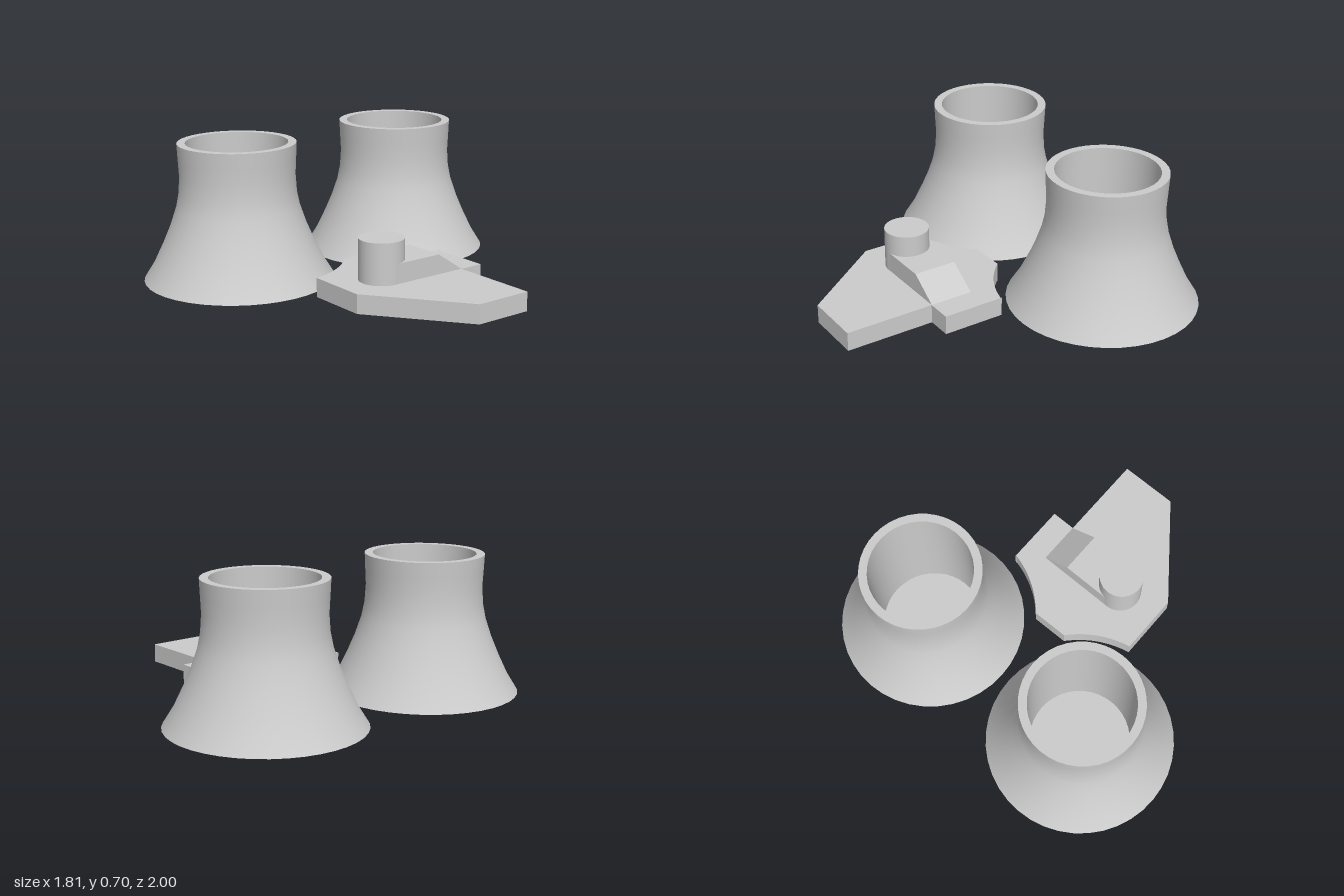
import * as THREE from 'three';

const material = new THREE.MeshStandardMaterial({ color: 0xcccccc });
const openMaterial = new THREE.MeshStandardMaterial({ color: 0xcccccc, side: THREE.DoubleSide });
const SEGMENTS = 40;

function addMesh(parent, name, geometry, mat = material) {
  const mesh = new THREE.Mesh(geometry, mat);
  mesh.name = name;
  parent.add(mesh);
  return mesh;
}

const lathe = (points) =>
  new THREE.LatheGeometry(points.map(([r, y]) => new THREE.Vector2(r, y)), SEGMENTS);

// Flared shell, open underneath, with a straight closed-bottom cup inside
function createTower(name, x, z) {
  const tower = new THREE.Group();
  tower.name = name;
  const top = 0.705;
  addMesh(tower, 'flaredShell', lathe([
    [0.488, 0], [0.435, 0.085], [0.385, 0.19], [0.347, 0.28], [0.315, 0.375],
    [0.3, 0.45], [0.294, 0.54], [0.298, 0.62], [0.302, top],
  ]), openMaterial);
  addMesh(tower, 'rim', lathe([[0.302, top], [0.26, top]]), openMaterial);
  addMesh(tower, 'cupWall', lathe([[0.26, 0], [0.26, top]]), openMaterial);
  addMesh(tower, 'cupFloor', new THREE.CircleGeometry(0.26, SEGMENTS).rotateX(-Math.PI / 2), openMaterial);
  tower.position.set(x, 0, z);
  return tower;
}

// Plan outline (x, -z) with two concave bites that clear the towers
function createBasePlate() {
  const s = new THREE.Shape();
  s.moveTo(0.435, 0.385);
  s.lineTo(0.11, 0.385);
  s.absarc(-0.418, 0.51, 0.548, -0.232, -0.871, true);
  s.absarc(-0.418, -0.51, 0.54, 0.853, 0.196, true);
  s.lineTo(0.435, -0.405);
  s.lineTo(0.9, -0.05);
  s.lineTo(0.9, 0.255);
  s.lineTo(0.435, 0.255);
  s.closePath();
  return new THREE.ExtrudeGeometry(s, { depth: 0.098, bevelEnabled: false, curveSegments: 12 })
    .rotateX(-Math.PI / 2);
}

// Side profile (-z, y) with a sloping rear end, extruded across x
function createRampBlock() {
  const s = new THREE.Shape();
  s.moveTo(-0.165, 0.05);
  s.lineTo(0.255, 0.05);
  s.lineTo(0.255, 0.098);
  s.lineTo(0.105, 0.2);
  s.lineTo(-0.165, 0.2);
  s.closePath();
  return new THREE.ExtrudeGeometry(s, { depth: 0.226, bevelEnabled: false })
    .rotateY(Math.PI / 2)
    .translate(0.208, 0, 0);
}

export function createModel() {
  const model = new THREE.Group();
  model.name = 'coolingTowerPlant';

  model.add(createTower('frontTower', -0.418, 0.511));
  model.add(createTower('backTower', -0.418, -0.512));

  const building = new THREE.Group();
  building.name = 'reactorBuilding';
  addMesh(building, 'basePlate', createBasePlate());
  addMesh(building, 'rampBlock', createRampBlock());
  addMesh(building, 'reactorCylinder', new THREE.CylinderGeometry(0.114, 0.114, 0.26, SEGMENTS))
    .position.set(0.321, 0.18, 0.167);
  model.add(building);

  return model;
}
